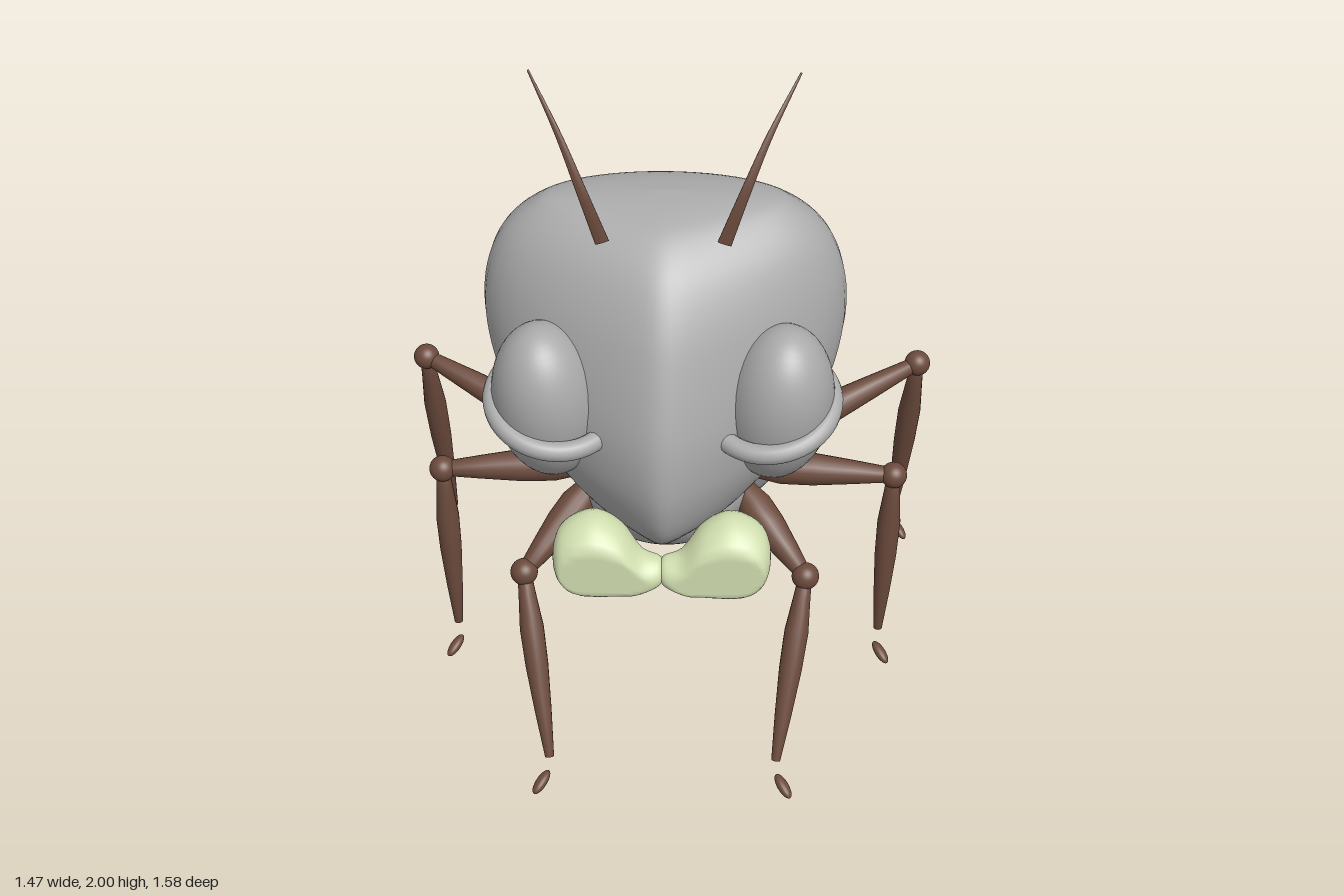
import * as THREE from 'three';

const V = (x, y, z) => new THREE.Vector3(x, y, z);
const material = (name, color) => {
  const m = new THREE.MeshStandardMaterial({ color });
  m.name = name;
  return m;
};

// Skin over a series of closed rings, each with the same number of points
function loft(rings) {
  const n = rings[0].length, pos = [], idx = [];
  rings.forEach(r => r.forEach(p => pos.push(p.x, p.y, p.z)));
  for (let i = 0; i < rings.length - 1; i++) {
    for (let j = 0; j < n; j++) {
      const a = i * n + j, b = i * n + (j + 1) % n, c = a + n, d = b + n;
      idx.push(a, c, b, b, c, d);
    }
  }
  const g = new THREE.BufferGeometry();
  g.setAttribute('position', new THREE.Float32BufferAttribute(pos, 3));
  g.setIndex(idx);
  g.computeVertexNormals();
  return g;
}

// Head: narrow chin, broad crown, snout pinched toward the front
function headGeometry() {
  // y, half width, front z, back z
  const rows = [
    [0.78, 0, 0.5, 0.5], [0.79, 0.08, 0.6, 0.4], [0.83, 0.16, 0.68, 0.24], [0.9, 0.24, 0.75, 0.11],
    [1.0, 0.325, 0.785, 0.03], [1.1, 0.385, 0.79, -0.015], [1.2, 0.427, 0.775, -0.03], [1.33, 0.45, 0.735, -0.015],
    [1.45, 0.44, 0.685, 0.035], [1.55, 0.4, 0.62, 0.105], [1.62, 0.33, 0.54, 0.19], [1.652, 0.25, 0.46, 0.27], [1.665, 0, 0.37, 0.37],
  ];
  const front = new THREE.CatmullRomCurve3(rows.map(r => V(r[1], r[0], r[2])), false, 'catmullrom');
  const back = new THREE.CatmullRomCurve3(rows.map(r => V(0, r[0], r[3])), false, 'catmullrom');
  const rings = [], N = 56, M = 60;
  for (let i = 0; i <= M; i++) {
    const f = front.getPoint(i / M), zb = back.getPoint(i / M).z;
    const mid = (f.z + zb) / 2, half = Math.max((f.z - zb) / 2, 0), w = Math.max(f.x, 0);
    const ring = [];
    for (let j = 0; j < N; j++) {
      const a = j / N * Math.PI * 2, t = Math.sin(a);
      const pinch = t > 0 ? 1 - 0.6 * t * t : 1;
      ring.push(V(Math.cos(a) * w * pinch, f.y, mid + half * t));
    }
    rings.push(ring);
  }
  return loft(rings);
}

// Mandible: lobe that swells outward and is cut flat at the front
function mandibleGeometry(side) {
  // x, centre y, half height, half depth
  const rows = [[0, 0.785, 0, 0], [0.002, 0.785, 0.03, 0.03], [0.05, 0.783, 0.05, 0.05], [0.1, 0.81, 0.082, 0.075],
    [0.16, 0.824, 0.098, 0.085], [0.21, 0.822, 0.092, 0.08], [0.25, 0.822, 0.066, 0.06], [0.267, 0.822, 0.032, 0.03], [0.271, 0.822, 0, 0]];
  const c1 = new THREE.CatmullRomCurve3(rows.map(r => V(r[0], r[1], r[2])));
  c1.curveType = 'catmullrom';
  const c2 = new THREE.CatmullRomCurve3(rows.map(r => V(r[0], r[1], r[3])));
  c2.curveType = 'catmullrom';
  const rings = [], N = 28, M = 32;
  for (let i = 0; i <= M; i++) {
    const p = c1.getPoint(i / M), depth = Math.max(c2.getPoint(i / M).z, 0), h = Math.max(p.z, 0);
    const ring = [];
    for (let j = 0; j < N; j++) {
      const a = j / N * Math.PI * 2;
      const y = p.y + side * Math.sin(a) * h;
      const z = 0.72 + Math.cos(a) * depth - (y - 0.8) * 0.35;
      ring.push(V(side * p.x, y, Math.min(z, 0.77)));
    }
    rings.push(ring);
  }
  return loft(rings);
}

// Antenna: tapering flat blade along a curve
function antennaGeometry(side) {
  const curve = new THREE.CatmullRomCurve3([
    V(side * 0.145, 1.61, 0.535), V(side * 0.19, 1.74, 0.532), V(side * 0.245, 1.87, 0.49), V(side * 0.318, 2, 0.415)]);
  const S = 24, R = 10, g = new THREE.TubeGeometry(curve, S, 0.018, R);
  const p = g.attributes.position;
  for (let i = 0; i <= S; i++) {
    const c = curve.getPointAt(i / S), k = 1 - 0.85 * i / S;
    for (let j = 0; j <= R; j++) {
      const q = i * (R + 1) + j;
      p.setXYZ(q, c.x + (p.getX(q) - c.x) * k, c.y + (p.getY(q) - c.y) * k, c.z + (p.getZ(q) - c.z) * k * 0.25);
    }
  }
  g.computeVertexNormals();
  return g;
}

// Spindle between two points, tapering to both ends
function spindle(a, b, r, startR, endR, mat, name) {
  const len = a.distanceTo(b);
  const prof = [[0, 0], [0, startR], [0.12, r * 0.72], [0.3, r], [0.5, r * 0.95], [0.75, r * 0.7], [1, endR], [1, 0]];
  const g = new THREE.LatheGeometry(prof.map(([t, w]) => new THREE.Vector2(w, t * len)), 16);
  const m = new THREE.Mesh(g, mat);
  m.name = name;
  m.position.copy(a);
  m.quaternion.setFromUnitVectors(V(0, 1, 0), b.clone().sub(a).normalize());
  return m;
}

export function createModel() {
  const grey = material('body grey', 0xaaaaaa);
  const brown = material('limb brown', 0x6b4a3c);
  const green = material('mandible green', 0xcfdcae);
  const model = new THREE.Group();
  model.name = 'ant';
  const add = (name, geometry, mat, parent = model) => {
    const m = new THREE.Mesh(geometry, mat);
    m.name = name;
    parent.add(m);
    return m;
  };
  const ellipsoid = (name, mat, c, r, rx = 0, parent = model) => {
    const m = add(name, new THREE.SphereGeometry(1, 40, 28), mat, parent);
    m.position.set(...c);
    m.scale.set(...r);
    m.rotation.x = rx;
    return m;
  };

  add('head', headGeometry(), grey);

  // Thorax, waist and abdomen
  ellipsoid('frontThorax', grey, [0, 0.72, 0.25], [0.22, 0.165, 0.205], -0.3);
  ellipsoid('middleThorax', grey, [0, 0.715, 0.075], [0.24, 0.225, 0.175], -0.15);
  ellipsoid('rearThorax', grey, [0, 0.63, -0.065], [0.21, 0.2, 0.197]);
  const waist = add('waist', new THREE.CylinderGeometry(0.075, 0.085, 0.14, 24), grey);
  waist.position.set(0, 0.53, -0.15);
  waist.quaternion.setFromUnitVectors(V(0, 1, 0), V(0, -0.6, -0.8));
  ellipsoid('abdomen', grey, [0, 0.413, -0.525], [0.37, 0.425, 0.24], 0.323);

  // Leg joints for the left side: hip, knee, ankle, foot
  const legs = {
    front: [[0.18, 0.735, 0.25], [0.37, 0.567, 0.457], [0.3, 0.12, 0.675], [0.32, 0.07, 0.72]],
    middle: [[0.18, 0.675, 0.1], [0.615, 0.667, 0.133], [0.597, 0.13, 0.122], [0.605, 0.07, 0.16]],
    hind: [[0.17, 0.59, -0.04], [0.7, 0.767, -0.28], [0.67, 0.125, -0.45], [0.69, 0.07, -0.43]],
  };

  for (const [side, label] of [[1, 'left'], [-1, 'right']]) {
    // Eye with its slanted rim
    const eye = ellipsoid(label + 'Eye', grey, [side * 0.282, 1.2, 0.585], [0.135, 0.225, 0.15], 0.22);
    eye.rotation.z = -side * 0.1;
    const rim = add(label + 'EyeRim', new THREE.TorusGeometry(0.15, 0.025, 16, 56), grey);
    rim.position.set(side * 0.265, 1.2, 0.597);
    rim.quaternion.setFromUnitVectors(V(0, 0, 1), V(-side * 0.15, 1, 0.38).normalize());

    add(label + 'Mandible', mandibleGeometry(side), green);
    add(label + 'Antenna', antennaGeometry(side), brown);

    for (const [place, joints] of Object.entries(legs)) {
      const [hip, knee, ankle, foot] = joints.map(([x, y, z]) => V(side * x, y, z));
      const leg = new THREE.Group();
      leg.name = label + place[0].toUpperCase() + place.slice(1) + 'Leg';
      leg.add(spindle(hip, knee, 0.047, 0.03, 0.02, brown, 'upperLeg'));
      leg.add(spindle(knee, ankle, 0.032, 0.018, 0.012, brown, 'lowerLeg'));
      ellipsoid('knee', brown, knee.toArray(), [0.036, 0.036, 0.036], 0, leg);
      const pad = ellipsoid('foot', brown, foot.toArray(), [0.017, 0.037, 0.014], 0, leg);
      pad.quaternion.setFromUnitVectors(V(0, 1, 0), V(side * 0.5, -0.45, 0.75).normalize());
      model.add(leg);
    }
  }
  return model;
}
